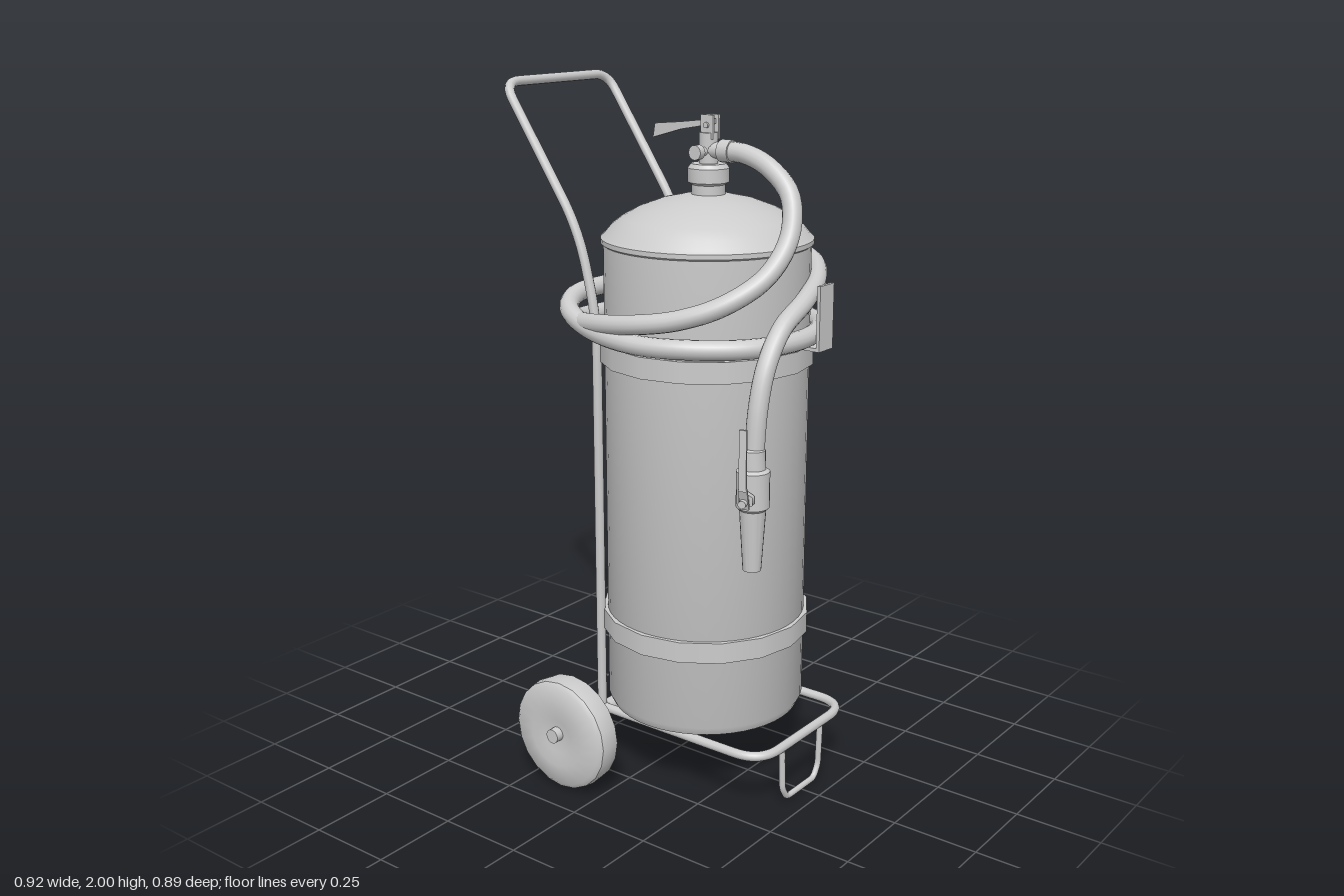
import * as THREE from 'three';
import { toCreasedNormals } from 'three/addons/utils/BufferGeometryUtils.js';

const V = (x, y, z) => new THREE.Vector3(x, y, z);
const V2 = (x, y) => new THREE.Vector2(x, y);

export function createModel() {
  const model = new THREE.Group();
  const mat = new THREE.MeshStandardMaterial({ color: 0xcccccc });
  const thin = new THREE.MeshStandardMaterial({ color: 0xcccccc, side: THREE.DoubleSide });

  function add(name, geo, pos = [0, 0, 0], rot = [0, 0, 0], parent = model, material = mat) {
    const mesh = new THREE.Mesh(geo, material);
    mesh.name = name;
    mesh.position.set(...pos);
    mesh.rotation.set(...rot);
    parent.add(mesh);
    return mesh;
  }
  const lathe = (pts, n, crease = 0.6) =>
    toCreasedNormals(new THREE.LatheGeometry(pts.map(p => V2(...p)), n), crease);
  const rod = (r, h, n = 16, r2 = r) => new THREE.CylinderGeometry(r, r2, h, n);

  // Path of straight runs with rounded corners; each corner has its own radius
  function bentPath(points, radii) {
    const path = new THREE.CurvePath();
    let from = points[0];
    for (let i = 1; i < points.length - 1; i++) {
      const p = points[i], r = radii[i - 1];
      const a = p.clone().add(points[i - 1].clone().sub(p).setLength(r));
      const b = p.clone().add(points[i + 1].clone().sub(p).setLength(r));
      path.add(new THREE.LineCurve3(from, a));
      path.add(new THREE.QuadraticBezierCurve3(a, p, b));
      from = b;
    }
    path.add(new THREE.LineCurve3(from, points[points.length - 1]));
    return path;
  }
  const bentTube = (name, points, radii, r, seg) =>
    add(name, new THREE.TubeGeometry(bentPath(points, radii), seg, r, 10), undefined, undefined, model, thin);

  // Tank with rim and domed top
  const cx = 0.093, cz = 0.004;
  add('tank', lathe([
    [0, 0.2], [0.255, 0.2], [0.275, 0.21], [0.287, 0.235], [0.287, 1.565], [0.294, 1.57], [0.294, 1.583],
    [0.284, 1.592], [0.265, 1.615], [0.235, 1.638], [0.19, 1.662], [0.13, 1.684], [0.07, 1.697], [0, 1.702],
  ], 48), [cx, 0, cz]);
  for (const y of [0.47, 1.27])
    add('strap', new THREE.CylinderGeometry(0.302, 0.302, 0.06, 16), [cx, y, cz]);

  // Neck and valve
  const valve = new THREE.Group();
  valve.name = 'valve';
  valve.position.set(cx, 0, 0);
  model.add(valve);
  add('neck', lathe([[0.046, 1.68], [0.046, 1.725], [0.057, 1.732], [0.057, 1.77], [0.048, 1.782], [0, 1.782]], 20),
    [0, 0, 0], [0, 0, 0], valve);
  add('valveBody', rod(0.026, 0.09), [0, 1.82, 0], [0, 0, 0], valve);
  add('outlet', rod(0.022, 0.06), [0.035, 1.818, 0], [0, 0, Math.PI / 2], valve);
  add('outletNut', rod(0.031, 0.035, 12), [0.062, 1.818, 0], [0, 0, Math.PI / 2], valve);
  add('crossBoss', rod(0.013, 0.11), [0, 1.815, 0], [Math.PI / 2, 0, 0], valve);
  for (const s of [-1, 1])
    add('bossCap', rod(0.02, 0.022), [0, 1.815, s * 0.053], [Math.PI / 2, 0, 0], valve);
  for (const s of [-1, 1])
    add('leverCheek', new THREE.BoxGeometry(0.042, 0.065, 0.007), [0.005, 1.88, s * 0.013], [0, 0, 0], valve);
  add('leverPivot', rod(0.008, 0.045, 10), [0.005, 1.885, 0], [Math.PI / 2, 0, 0], valve);
  const blade = new THREE.Shape([V2(0.02, 1.888), V2(0.02, 1.902), V2(-0.09, 1.888), V2(-0.18, 1.879), V2(-0.187, 1.84), V2(-0.09, 1.868)]);
  add('lever', new THREE.ExtrudeGeometry(blade, { depth: 0.012, bevelEnabled: false }), [0, 0, -0.006], [0, 0, 0], valve);
  add('safetyRing', new THREE.TorusGeometry(0.014, 0.003, 6, 16), [-0.03, 1.895, -0.03], [Math.PI / 2, 0, 0], valve);
  add('safetyPin', rod(0.004, 0.055, 8), [-0.012, 1.895, -0.012], [Math.PI / 2, 0, 0], valve);

  // Hose coiled around the top of the tank, ending at the nozzle
  const hose = new THREE.CatmullRomCurve3([
    [0.14, 1.818, 0], [0.21, 1.815, 0], [0.3, 1.785, 0.01], [0.375, 1.72, 0.025], [0.403, 1.62, 0.065],
    [0.385, 1.525, 0.14], [0.315, 1.455, 0.23], [0.21, 1.412, 0.29], [0.08, 1.388, 0.32],
    [-0.06, 1.37, 0.305], [-0.165, 1.358, 0.26], [-0.208, 1.35, 0.18], [-0.205, 1.345, 0], [-0.18, 1.34, -0.17],
    [-0.1, 1.335, -0.27], [0.05, 1.335, -0.308], [0.2, 1.335, -0.29], [0.34, 1.335, -0.19],
    [0.405, 1.335, 0], [0.36, 1.335, 0.17], [0.23, 1.335, 0.28], [0.08, 1.335, 0.318], [-0.08, 1.35, 0.3],
    [-0.19, 1.385, 0.26], [-0.234, 1.41, 0.18], [-0.226, 1.42, 0], [-0.2, 1.432, -0.15], [-0.12, 1.46, -0.27],
    [0, 1.5, -0.308], [0.15, 1.515, -0.308], [0.28, 1.5, -0.245], [0.365, 1.47, -0.13], [0.408, 1.435, 0],
    [0.414, 1.385, 0.11], [0.415, 1.3, 0.18], [0.414, 1.2, 0.213], [0.412, 1.06, 0.228],
  ].map(p => V(...p)));
  add('hose', new THREE.TubeGeometry(hose, 220, 0.027, 14), undefined, undefined, model, thin);

  // Hook that carries the hose
  const hook = new THREE.Shape([V2(0.37, 1.3), V2(0.445, 1.3), V2(0.445, 1.48), V2(0.435, 1.48), V2(0.435, 1.31), V2(0.37, 1.31)]);
  add('hoseHook', new THREE.ExtrudeGeometry(hook, { depth: 0.068, bevelEnabled: false }), [0, 0, -0.093]);

  // Nozzle with shut-off lever
  const nozzle = new THREE.Group();
  nozzle.name = 'nozzle';
  nozzle.position.set(0.412, 0, 0.23);
  nozzle.rotation.y = 0.32;
  model.add(nozzle);
  add('nozzleBody', lathe([
    [0.019, 0.78], [0.02, 0.75], [0.025, 0.75], [0.036, 0.92], [0.045, 0.928], [0.045, 1.027],
    [0.034, 1.034], [0.032, 1.085], [0.02, 1.09],
  ], 20), [0, 0, 0], [0, 0, 0], nozzle, thin);
  add('nozzleBore', rod(0.021, 0.01), [0, 0.78, 0], [0, 0, 0], nozzle);
  add('shutOffStem', rod(0.011, 0.075, 10), [0, 0.965, 0.065], [Math.PI / 2, 0, 0], nozzle);
  add('shutOffNut', rod(0.022, 0.018, 6), [0, 0.965, 0.06], [Math.PI / 2, 0, 0], nozzle);
  const foot = new THREE.BoxGeometry(0.024, 0.065, 0.008);
  add('shutOffFoot', foot, [0, 0.975, 0.083], [0.35, 0, 0], nozzle);
  add('shutOffLever', new THREE.BoxGeometry(0.02, 0.165, 0.008), [0, 1.082, 0.095], [0, 0, 0], nozzle);

  // Push handle: one bent tube from axle to axle
  const wx = -0.125, side = 0.222;
  bentTube('pushHandle', [
    V(wx, 0.18, side), V(wx, 1.36, side), V(-0.185, 1.6, side), V(-0.447, 1.986, side),
    V(-0.447, 1.986, -side), V(-0.185, 1.6, -side), V(wx, 1.36, -side), V(wx, 0.18, -side),
  ], [0.1, 0.1, 0.055, 0.055, 0.1, 0.1], 0.014, 260);

  // Base frame and front foot
  bentTube('baseFrame', [V(wx, 0.184, side), V(0.443, 0.184, side), V(0.443, 0.184, -side), V(wx, 0.184, -side)],
    [0.09, 0.09], 0.014, 120);
  bentTube('footLoop', [V(0.443, 0.184, 0.113), V(0.443, 0.05, 0.107), V(0.443, 0.015, 0.085),
    V(0.443, 0.015, -0.057), V(0.443, 0.05, -0.079), V(0.443, 0.184, -0.085)],
    [0.015, 0.015, 0.015, 0.015], 0.009, 80);

  // Axle and wheels
  add('axle', rod(0.021, 0.895), [wx, 0.176, 0], [Math.PI / 2, 0, 0]);
  const wheel = lathe([
    [0, -0.036], [0.05, -0.036], [0.12, -0.045], [0.15, -0.045], [0.163, -0.034], [0.167, 0],
    [0.163, 0.028], [0.15, 0.038], [0.09, 0.047], [0.05, 0.04], [0, 0.038],
  ], 20, 0.7);
  for (const s of [-1, 1])
    add(s > 0 ? 'frontWheel' : 'backWheel', wheel, [wx, 0.167, s * 0.385], [s * Math.PI / 2, 0, 0]);

  return model;
}
